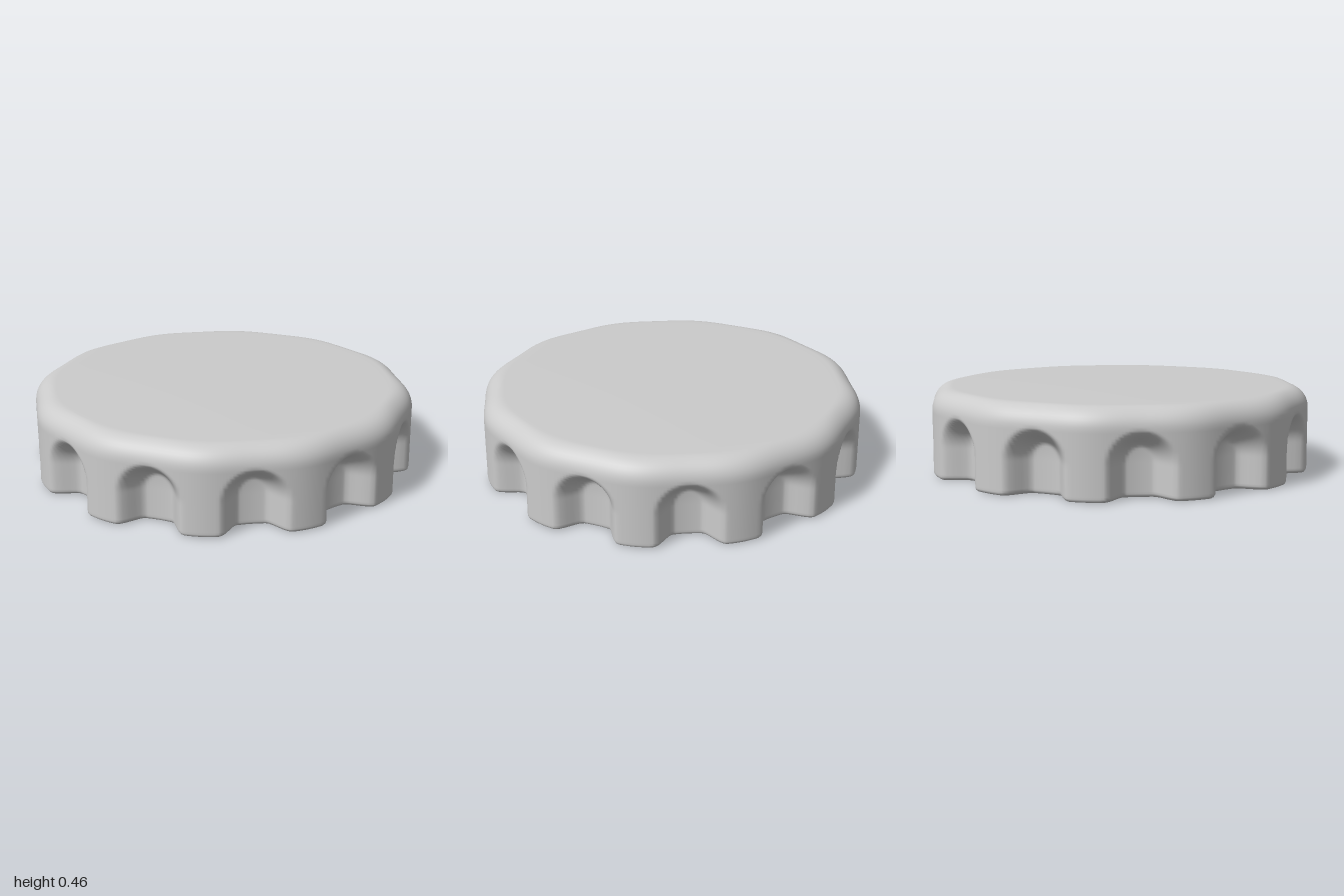
import * as THREE from 'three';

const FLUTES = 12, SEGMENTS = FLUTES * 32;
const PERIOD = (Math.PI * 2) / FLUTES;
const FIRST = THREE.MathUtils.degToRad(-7.5); // angle of the first flute, from +z towards +x
const WALL = 0.035, CEILING = 0.39, DEPTH = 0.12, FLUTE_R = 0.17, ARCH_Y = 0.17;

// signed angle to the nearest flute centre
function fluteOffset(phi) {
  const t = (phi - FIRST) / PERIOD;
  return (t - Math.round(t)) * PERIOD;
}

// how far an arch-topped flute pushes the wall inward; grow widens it for the inner face
function fluteDepth(phi, y, grow) {
  const d = Math.max(0, Math.hypot(fluteOffset(phi), Math.max(0, y - ARCH_Y)) - grow);
  const wall = 1 - THREE.MathUtils.smoothstep(d, 0.075, FLUTE_R);
  const bowl = Math.max(0, 1 - (d / FLUTE_R) ** 2);
  return DEPTH * (0.85 * wall + 0.15 * bowl);
}

// cross-section rows from the top centre, over the shoulder, down, round the lip and up inside
function sectionRows() {
  const rows = [];
  const add = (r, y, inner) => rows.push({ r, y, inner });
  for (const r of [0, 0.3, 0.55, 0.75, 0.85]) add(r, 0.456 - 0.006 * (r / 0.89) ** 2, 0);
  for (let i = 0; i <= 10; i++) {
    const a = (i / 10) * Math.PI / 2;
    add(0.89 + 0.11 * Math.sin(a), 0.34 + 0.11 * Math.cos(a), 0);
  }
  const lip = WALL / 2;
  for (let i = 1; i < 28; i++) add(1, THREE.MathUtils.lerp(0.34, lip, i / 28), 0);
  for (let i = 0; i <= 8; i++) {
    const a = (i / 8) * Math.PI;
    add(1 - lip + lip * Math.cos(a), lip - lip * Math.sin(a), i / 8);
  }
  for (let i = 1; i <= 28; i++) add(1 - WALL, THREE.MathUtils.lerp(lip, CEILING, i / 28), 1);
  return rows;
}

function shellGeometry() {
  const rows = sectionRows(), positions = [], index = [];
  rows.forEach(({ r, y, inner }, i) => {
    for (let j = 0; j < SEGMENTS; j++) {
      const phi = (j / SEGMENTS) * Math.PI * 2;
      // ridges between the flutes stand slightly proud
      const ridge = -0.009 * Math.cos(FLUTES * (phi - FIRST)) * THREE.MathUtils.smoothstep(r, 0.85, 0.96);
      const radius = r + ridge - (r > 0.9 ? fluteDepth(phi, y, WALL * 0.8 * inner) : 0);
      positions.push(radius * Math.sin(phi), y, radius * Math.cos(phi));
      if (i === rows.length - 1) continue;
      const k = (j + 1) % SEGMENTS;
      const a = i * SEGMENTS + j, b = a + SEGMENTS, c = (i + 1) * SEGMENTS + k, d = i * SEGMENTS + k;
      index.push(a, b, c);
      if (i > 0) index.push(a, c, d);
    }
  });
  const geometry = new THREE.BufferGeometry();
  geometry.setAttribute('position', new THREE.Float32BufferAttribute(positions, 3));
  geometry.setIndex(index);
  geometry.computeVertexNormals();
  // the centre point is shared by many triangles: keep it straight up
  for (let j = 0; j < SEGMENTS; j++) geometry.attributes.normal.setXYZ(j, 0, 1, 0);
  return geometry;
}

export function createModel() {
  const group = new THREE.Group();
  group.name = 'flutedLid';
  const material = new THREE.MeshStandardMaterial({ color: 0xcccccc });

  const shell = new THREE.Mesh(shellGeometry(), material);
  shell.name = 'flutedShell';
  group.add(shell);

  // flat underside of the top, inside the lid
  const ceiling = new THREE.Mesh(new THREE.CircleGeometry(0.97, 96), material);
  ceiling.name = 'innerCeiling';
  ceiling.rotation.x = Math.PI / 2;
  ceiling.position.y = CEILING - 0.002;
  group.add(ceiling);

  return group;
}
